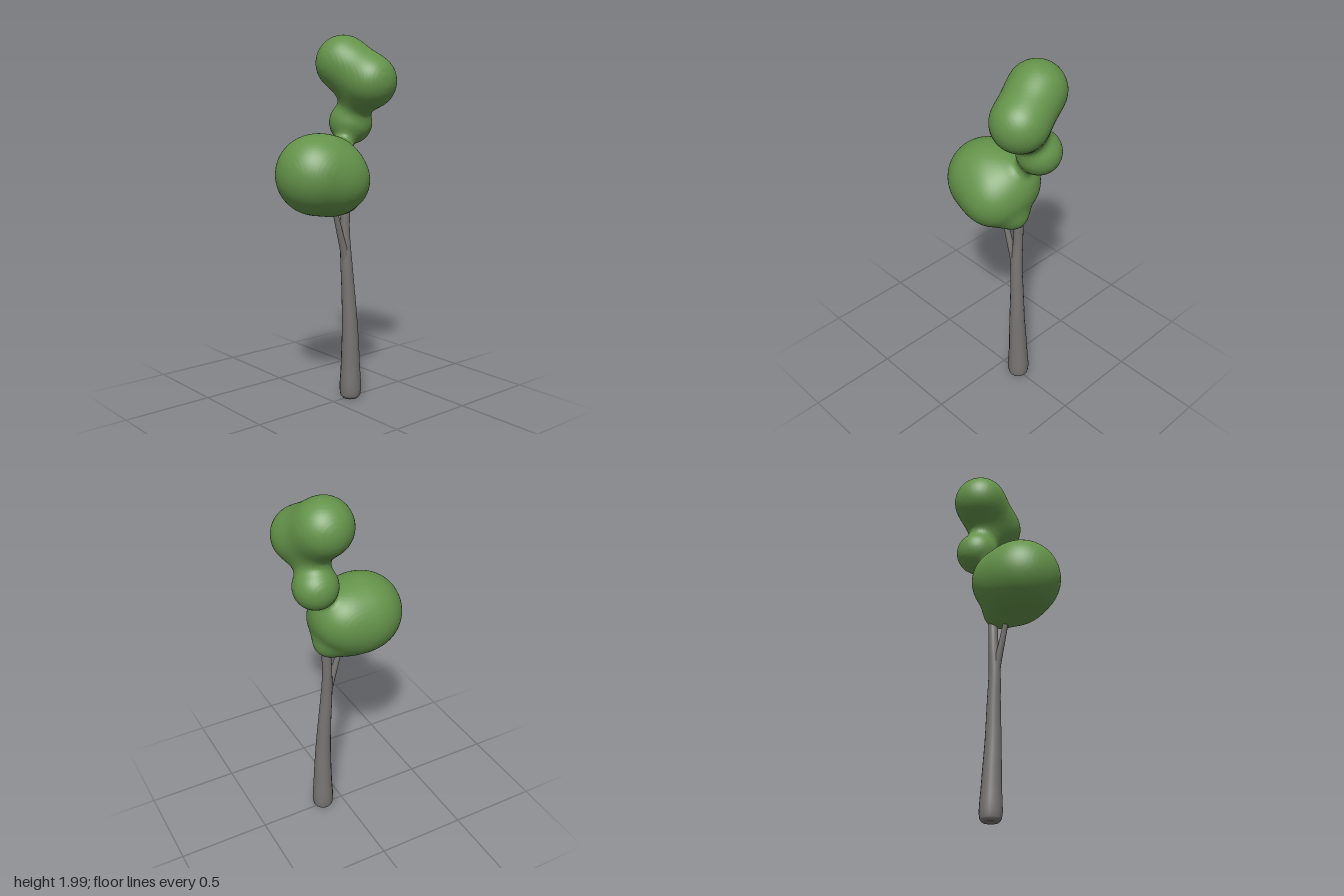
import * as THREE from 'three';

const bark = new THREE.MeshStandardMaterial({ color: 0x777472 });
const leaf = new THREE.MeshStandardMaterial({ color: 0x64934a });

// Tapered limb: rings of varying radius along a smooth path of [x, y, z, radius]
function limb(name, stations, sides = 16, steps = 40) {
  const path = new THREE.CatmullRomCurve3(stations.map(([x, y, z]) => new THREE.Vector3(x, y, z)));
  const radii = new THREE.CatmullRomCurve3(stations.map(([, y, , r]) => new THREE.Vector3(r, y, 0)));
  const pos = [], index = [];
  for (let i = 0; i <= steps; i++) {
    const c = path.getPoint(i / steps), r = radii.getPoint(i / steps).x;
    for (let j = 0; j < sides; j++) {
      const a = (j / sides) * Math.PI * 2;
      pos.push(c.x + r * Math.cos(a), c.y, c.z + r * Math.sin(a));
      if (i === steps) continue;
      const k = (j + 1) % sides, p = i * sides;
      index.push(p + j, p + sides + j, p + k, p + k, p + sides + j, p + sides + k);
    }
  }
  // close both ends
  const last = steps * sides, n = pos.length / 3;
  pos.push(...path.getPoint(0).toArray(), ...path.getPoint(1).toArray());
  for (let j = 0; j < sides; j++) {
    const k = (j + 1) % sides;
    index.push(n, j, k, n + 1, last + k, last + j);
  }
  return finish(name, pos, index, bark);
}

function finish(name, pos, index, material) {
  const geo = new THREE.BufferGeometry();
  geo.setAttribute('position', new THREE.Float32BufferAttribute(pos, 3));
  geo.setIndex(index);
  geo.computeVertexNormals();
  const mesh = new THREE.Mesh(geo, material);
  mesh.name = name;
  return mesh;
}

// Foliage balls [x, y, z, radius, blend width], melted together by a smooth union
const balls = [
  // large lower clump
  [0, 1.275, 0.12, 0.212, 0.05], [0, 1.27, 0.045, 0.2, 0.05], [0.06, 1.24, 0.015, 0.162, 0.05],
  [-0.035, 1.3, -0.01, 0.152, 0.05], [0, 1.17, 0.01, 0.112, 0.05], [0.005, 1.13, -0.085, 0.06, 0.07],
  // neck and small ball
  [-0.025, 1.425, -0.105, 0.035, 0.04], [-0.065, 1.535, -0.177, 0.117, 0.05],
  // upper clump
  [0, 1.665, -0.165, 0.085, 0.06], [0.075, 1.755, -0.182, 0.147, 0.06], [-0.08, 1.85, -0.137, 0.149, 0.1],
];
function field(x, y, z) {
  let d = 10;
  for (const [bx, by, bz, r, k] of balls) {
    const e = Math.hypot(x - bx, y - by, z - bz) - r;
    const h = Math.max(k - Math.abs(d - e), 0) / k;
    d = Math.min(d, e) - h * h * k * 0.25;
  }
  return d;
}

// Skin the field: one averaged vertex per crossed cell, one quad per crossed grid edge
function foliage() {
  const s = 0.0125, lo = [-0.27, 1.0, -0.38], n = [44, 84, 62];
  const id = (i, j, k) => i + n[0] * (j + n[1] * k);
  const val = new Float32Array(n[0] * n[1] * n[2]);
  for (let k = 0; k < n[2]; k++) for (let j = 0; j < n[1]; j++) for (let i = 0; i < n[0]; i++)
    val[id(i, j, k)] = field(lo[0] + i * s, lo[1] + j * s, lo[2] + k * s);

  const stride = [1, n[0], n[0] * n[1]];
  const vert = new Int32Array(val.length).fill(-1), pos = [], index = [];
  const each = (fn) => {
    for (let k = 1; k < n[2] - 1; k++) for (let j = 1; j < n[1] - 1; j++) for (let i = 1; i < n[0] - 1; i++)
      fn([i, j, k], id(i, j, k));
  };
  each((cell, c) => {
    const sum = [0, 0, 0];
    let count = 0;
    for (let corner = 0; corner < 8; corner++) for (let a = 0; a < 3; a++) {
      if (corner & (1 << a)) continue;
      const bits = [corner & 1, (corner >> 1) & 1, corner >> 2];
      const p = c + bits[0] * stride[0] + bits[1] * stride[1] + bits[2] * stride[2];
      const v0 = val[p], v1 = val[p + stride[a]];
      if ((v0 < 0) === (v1 < 0)) continue;
      bits[a] = v0 / (v0 - v1);
      bits.forEach((b, m) => { sum[m] += b; });
      count++;
    }
    if (!count) return;
    vert[c] = pos.length / 3;
    pos.push(...sum.map((v, m) => lo[m] + s * (cell[m] + v / count)));
  });
  each((cell, c) => {
    for (let a = 0; a < 3; a++) {
      const inside = val[c] < 0;
      if (inside === (val[c + stride[a]] < 0)) continue;
      const u = stride[(a + 1) % 3], w = stride[(a + 2) % 3];
      const q = [vert[c - u - w], vert[c - w], vert[c], vert[c - u]];
      if (!inside) q.reverse();
      index.push(q[0], q[1], q[2], q[0], q[2], q[3]);
    }
  });
  return finish('foliage', pos, index, leaf);
}

export function createModel() {
  const tree = new THREE.Group();
  tree.name = 'tree';
  // main stem, continuing up through the crown
  tree.add(limb('trunk', [
    [0.002, 0.005, -0.122, 0.042], [0.002, 0.025, -0.122, 0.057], [0.004, 0.2, -0.12, 0.053],
    [0.007, 0.42, -0.113, 0.044], [0.002, 0.62, -0.104, 0.037], [-0.003, 0.8, -0.093, 0.032],
    [-0.013, 0.95, -0.092, 0.027], [-0.013, 1.1, -0.097, 0.025], [-0.012, 1.3, -0.11, 0.018],
    [-0.025, 1.41, -0.128, 0.014], [-0.05, 1.52, -0.165, 0.01],
  ]));
  // thin fork leaning forward into the large lower clump
  tree.add(limb('forkBranch', [
    [0, 0.74, -0.093, 0.024], [0, 0.84, -0.076, 0.022], [0.002, 0.94, -0.046, 0.018],
    [0.003, 1.05, -0.014, 0.015], [0.003, 1.16, 0.02, 0.012],
  ], 12, 20));
  tree.add(foliage());
  return tree;
}
